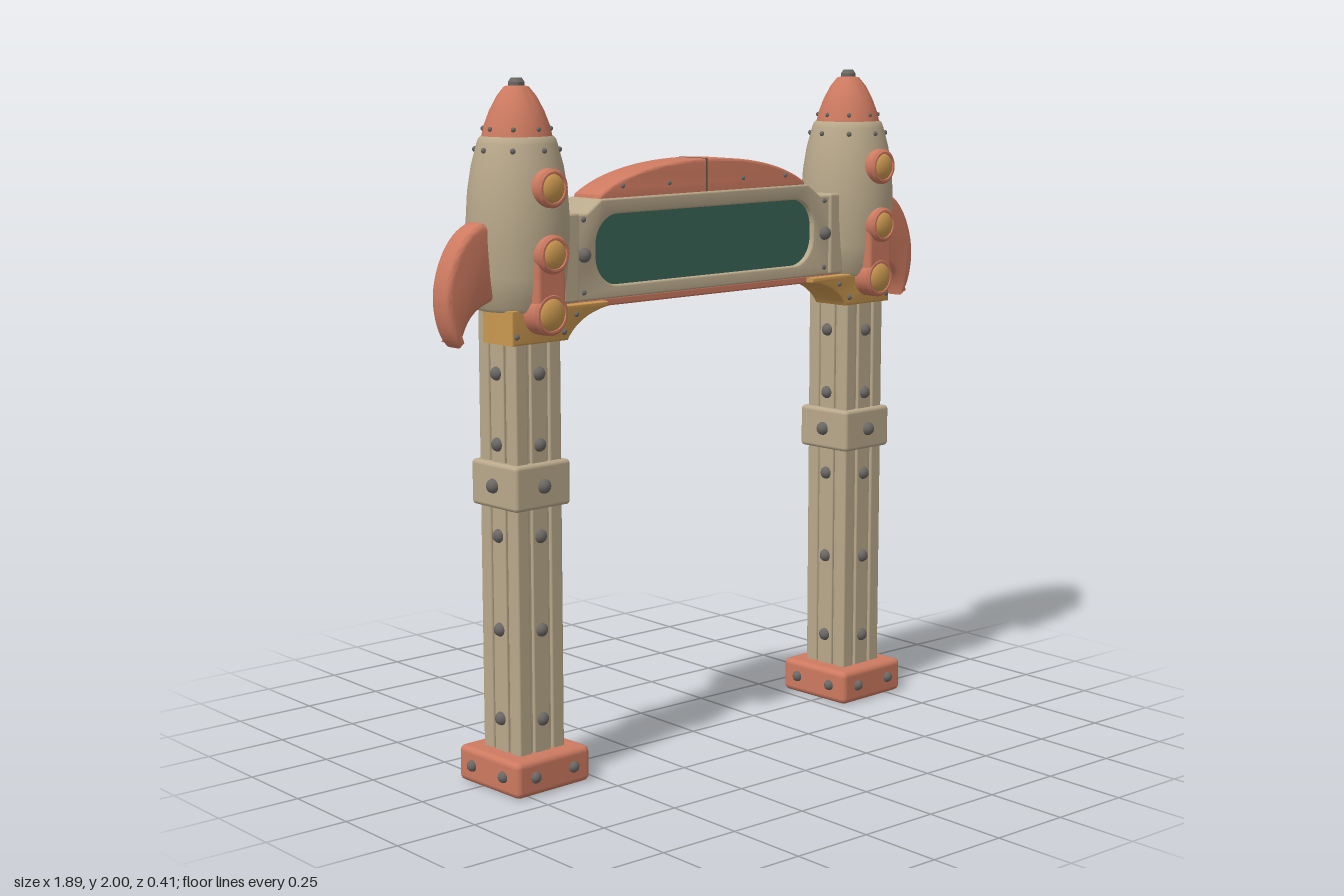
import * as THREE from 'three';
import { toCreasedNormals } from 'three/addons/utils/BufferGeometryUtils.js';
import { RoundedBoxGeometry } from 'three/addons/geometries/RoundedBoxGeometry.js';

const mat = (name, color) => {
  const m = new THREE.MeshStandardMaterial({ color });
  m.name = name;
  return m;
};

export function createModel() {
  const tan = mat('tan metal', 0xb9a98b);
  const red = mat('coral red', 0xcd7a60);
  const green = mat('dark green', 0x3a6657);
  const gold = mat('gold', 0xcb9850);
  const grey = mat('rivet grey', 0x6b6864);
  const seam = mat('dark seam', 0x5a5145);

  const root = new THREE.Group();
  root.name = 'rocketGate';

  const add = (parent, name, geo, material, x = 0, y = 0, z = 0) => {
    const m = new THREE.Mesh(geo, material);
    m.name = name;
    m.position.set(x, y, z);
    parent.add(m);
    return m;
  };
  const box = (p, name, w, h, d, material, x, y, z, r = 0.01) =>
    add(p, name, new RoundedBoxGeometry(w, h, d, 2, r), material, x, y, z);

  // Extrudes a shape along z, centred, with a bevel kept inside the outline
  const slab = (shape, depth, bevel) => {
    const g = new THREE.ExtrudeGeometry(shape, {
      depth: depth - 2 * bevel, bevelEnabled: bevel > 0, bevelSize: bevel,
      bevelThickness: bevel, bevelOffset: -bevel, bevelSegments: 3, curveSegments: 16,
    });
    g.translate(0, 0, -depth / 2 + bevel);
    return toCreasedNormals(g, 0.6);
  };

  const rivetGeo = new THREE.SphereGeometry(1, 12, 8);
  const rivet = (p, x, y, z, r = 0.02) =>
    add(p, 'rivet', rivetGeo, grey, x, y, z).scale.setScalar(r);

  // Runs a builder once for each of the four sides of a post
  const fourSides = (parent, name, build) => {
    for (let i = 0; i < 4; i++) {
      const g = new THREE.Group();
      g.name = name;
      g.rotation.y = i * Math.PI / 2;
      parent.add(g);
      build(g);
    }
  };

  // Round lamp facing +z: red housing with a gold dome
  const lamp = (parent, y, z, length, r, back = false) => {
    const g = new THREE.Group();
    g.name = 'lamp';
    g.position.y = y;
    g.rotation.y = back ? Math.PI : 0;
    parent.add(g);
    const ring = [[0, -length], [r, -length], [r, -0.008], [r - 0.008, 0], [r - 0.014, 0], [r - 0.016, -0.01], [0, -0.01]];
    const lathe = new THREE.LatheGeometry(ring.map(p => new THREE.Vector2(...p)), 28);
    lathe.rotateX(Math.PI / 2);
    add(g, 'lampHousing', toCreasedNormals(lathe, 0.6), red, 0, 0, z);
    add(g, 'lampDome', new THREE.SphereGeometry(r - 0.012, 24, 12), gold, 0, 0, z - 0.012).scale.z = 0.5;
  };

  const tower = (side) => {
    const t = new THREE.Group();
    t.name = side > 0 ? 'leftTower' : 'rightTower';
    t.position.x = side * 0.668;
    root.add(t);

    // Foot, column and clamp band
    box(t, 'foot', 0.27, 0.105, 0.27, red, 0, 0.0525, 0, 0.018);
    box(t, 'columnCore', 0.148, 1.3, 0.148, tan, 0, 0.74, 0, 0.004);
    for (const x of [-1, 1]) for (const z of [-1, 1])
      box(t, 'cornerPost', 0.044, 1.3, 0.044, tan, x * 0.06, 0.74, z * 0.06, 0.006);
    box(t, 'clampBand', 0.2, 0.13, 0.2, tan, 0, 0.875, 0, 0.012);
    fourSides(t, 'columnSide', (g) => {
      box(g, 'columnRib', 0.058, 1.3, 0.012, tan, 0, 0.74, 0.077, 0.004);
      for (const y of [0.2, 0.46, 0.73, 0.99, 1.19]) rivet(g, 0, y, 0.081);
      rivet(g, 0, 0.875, 0.1, 0.021);
      for (const x of [-0.07, 0.07]) rivet(g, x, 0.055, 0.134, 0.017);
    });

    // Rocket body, nose cone and tip
    const lathe = (name, pts, material) => add(t, name, toCreasedNormals(
      new THREE.LatheGeometry(pts.map(p => new THREE.Vector2(...p)), 40), 0.6), material);
    lathe('rocketBody', [[0, 1.365], [0.116, 1.365], [0.124, 1.375], [0.136, 1.46], [0.143, 1.55], [0.144, 1.61],
      [0.139, 1.69], [0.128, 1.76], [0.112, 1.82], [0.107, 1.835], [0.1, 1.842], [0, 1.842]], tan);
    lathe('noseCone', [[0, 1.84], [0.098, 1.84], [0.092, 1.868], [0.076, 1.91], [0.055, 1.95], [0.034, 1.976], [0, 1.984]], red);
    lathe('noseTip', [[0, 1.968], [0.022, 1.968], [0.023, 1.988], [0.015, 2], [0, 2]], grey);

    // Front lamps on a red housing
    lamp(t, 1.705, 0.158, 0.055, 0.054);
    lamp(t, 1.525, 0.162, 0.05, 0.054);
    lamp(t, 1.36, 0.148, 0.075, 0.06);
    box(t, 'lampBacking', 0.1, 0.17, 0.06, red, 0, 1.44, 0.116, 0.012);

    // Hatch on the back; one tower also has a rear lamp
    box(t, 'hatch', 0.125, 0.175, 0.05, tan, 0, 1.515, -0.14, 0.012);
    for (const x of [-0.045, 0.045]) for (const y of [1.445, 1.585]) rivet(t, x, y, -0.164, 0.008);
    if (side < 0) lamp(t, 1.705, 0.158, 0.055, 0.054, true);

    // Small body rivets
    for (let i = 0; i < 8; i++) {
      const a = i * Math.PI / 4;
      rivet(t, Math.sin(a) * 0.116, 1.805, Math.cos(a) * 0.116, 0.008);
      rivet(t, Math.sin(a) * 0.093, 1.862, Math.cos(a) * 0.093, 0.007);
    }

    // Swept outer fin
    const fin = new THREE.Shape();
    fin.moveTo(side * 0.11, 1.6);
    fin.lineTo(side * 0.15, 1.612);
    fin.bezierCurveTo(side * 0.235, 1.59, side * 0.285, 1.47, side * 0.277, 1.39);
    fin.quadraticCurveTo(side * 0.268, 1.31, side * 0.23, 1.276);
    fin.quadraticCurveTo(side * 0.212, 1.36, side * 0.15, 1.385);
    fin.lineTo(side * 0.11, 1.4);
    fin.closePath();
    add(t, 'fin', slab(fin, 0.076, 0.016), red);

    // Gold bracket wrapped round the column head and reaching under the beam
    const br = new THREE.Shape();
    br.moveTo(side * 0.1, 1.372);
    br.lineTo(side * 0.1, 1.275);
    br.lineTo(-side * 0.1, 1.275);
    br.quadraticCurveTo(-side * 0.14, 1.34, -side * 0.25, 1.358);
    br.lineTo(-side * 0.25, 1.372);
    br.closePath();
    add(t, 'bracket', slab(br, 0.13, 0.005), gold, 0, 0, 0.028);
    for (const x of [-0.085, 0.085]) rivet(t, x, 1.3, 0.092, 0.009);
    rivet(t, -side * 0.13, 1.345, 0.092, 0.008);
  };
  tower(1);
  tower(-1);

  // Beam frame with a slot-shaped opening
  const beam = new THREE.Group();
  beam.name = 'beam';
  root.add(beam);
  const frame = new THREE.Shape();
  [[-0.57, 1.375], [0.57, 1.375], [0.57, 1.62], [0.475, 1.62], [0.42, 1.658], [-0.42, 1.658], [-0.475, 1.62], [-0.57, 1.62]]
    .forEach(([x, y], i) => (i ? frame.lineTo(x, y) : frame.moveTo(x, y)));
  frame.closePath();
  const slot = (Kind, hw, hh, r, y) => {
    const s = new Kind();
    s.moveTo(-hw + r, y - hh);
    s.lineTo(hw - r, y - hh);
    s.absarc(hw - r, y - hh + r, r, -Math.PI / 2, 0, false);
    s.absarc(hw - r, y + hh - r, r, 0, Math.PI / 2, false);
    s.absarc(-hw + r, y + hh - r, r, Math.PI / 2, Math.PI, false);
    s.absarc(-hw + r, y - hh + r, r, Math.PI, Math.PI * 1.5, false);
    return s;
  };
  frame.holes.push(slot(THREE.Path, 0.442, 0.101, 0.085, 1.513));
  add(beam, 'beamFrame', slab(frame, 0.14, 0.006), tan);
  add(beam, 'signPanel', slab(slot(THREE.Shape, 0.45, 0.108, 0.09, 1.513), 0.108, 0), green);
  box(beam, 'bottomRail', 1.14, 0.024, 0.13, red, 0, 1.366, 0, 0.006);

  // Collars and bolts at the beam ends
  for (const s of [-1, 1]) {
    box(beam, 'endCollar', 0.06, 0.25, 0.156, tan, s * 0.54, 1.5, 0, 0.008);
    for (const z of [-1, 1]) {
      rivet(beam, s * 0.49, 1.505, z * 0.072, 0.021);
      for (const y of [1.4, 1.605]) rivet(beam, s * 0.49, y, z * 0.07, 0.008);
      for (const x of [0.15, 0.33]) rivet(beam, s * x, 1.69, z * 0.057, 0.007);
    }
  }

  // Red arch on top with a centre seam
  const arch = new THREE.Shape();
  arch.moveTo(-0.42, 1.65);
  arch.lineTo(0.42, 1.65);
  arch.lineTo(0.415, 1.668);
  arch.bezierCurveTo(0.3, 1.74, 0.12, 1.754, 0, 1.754);
  arch.bezierCurveTo(-0.12, 1.754, -0.3, 1.74, -0.415, 1.668);
  arch.closePath();
  add(beam, 'topArch', slab(arch, 0.116, 0.008), red);
  add(beam, 'archSeam', new THREE.BoxGeometry(0.005, 0.096, 0.118), seam, 0, 1.707, 0);

  // The gate stands slightly turned
  root.rotation.y = 0.048;
  const model = new THREE.Group();
  model.name = 'gate';
  model.add(root);
  return model;
}
